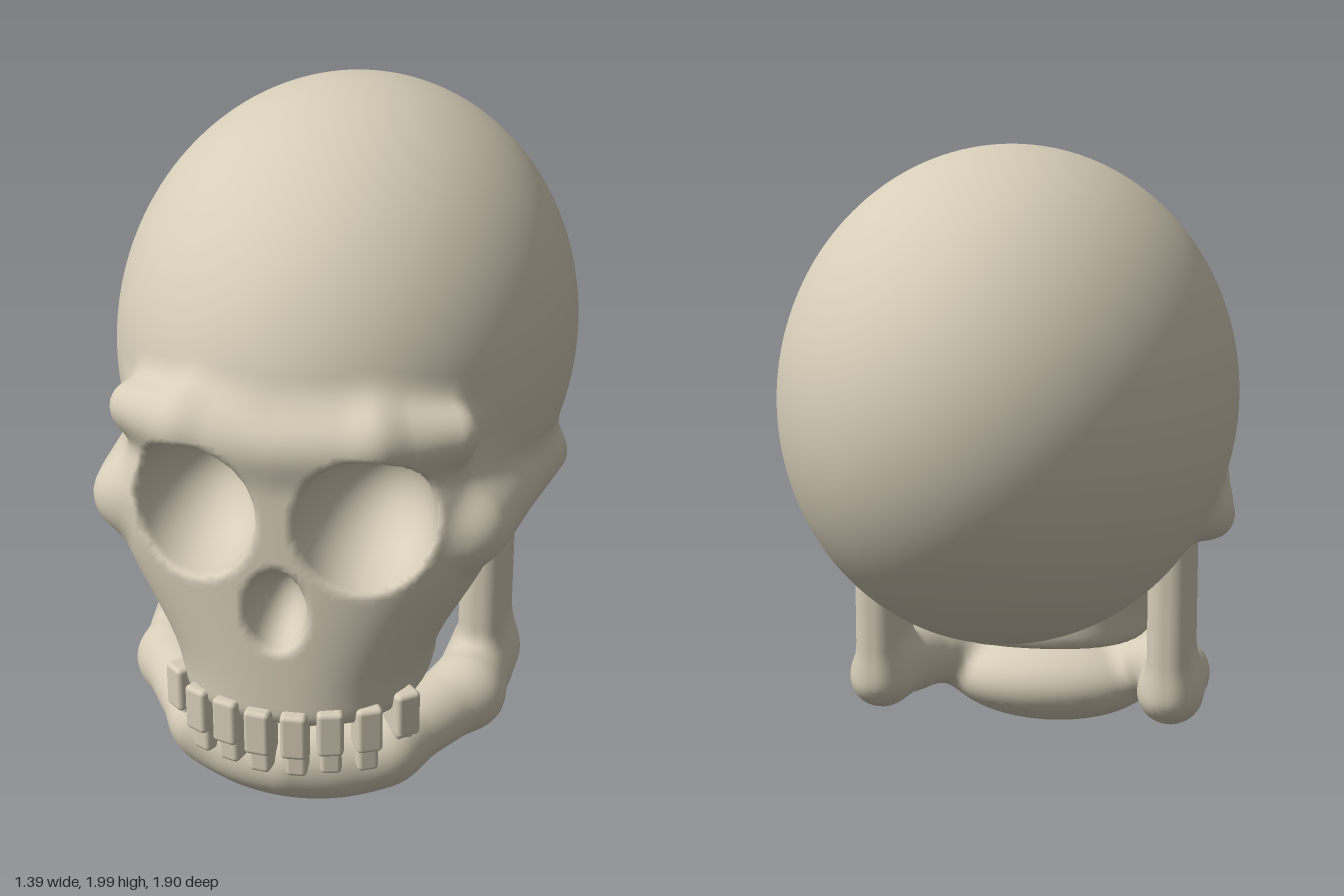
import * as THREE from 'three';
import { RoundedBoxGeometry } from 'three/addons/geometries/RoundedBoxGeometry.js';

const { smoothstep } = THREE.MathUtils;

// Distance fields of the basic masses
function ellipsoid(x, y, z, c, r) {
  const a = (x - c[0]) / r[0], b = (y - c[1]) / r[1], d = (z - c[2]) / r[2];
  const k0 = Math.hypot(a, b, d), k1 = Math.hypot(a / r[0], b / r[1], d / r[2]);
  return k1 < 1e-6 ? -Math.min(...r) : k0 * (k0 - 1) / k1;
}
// Tapered rod from a to b; each end is [x, y, z, radius]
function rod(x, y, z, a, b) {
  const ux = b[0] - a[0], uy = b[1] - a[1], uz = b[2] - a[2];
  const px = x - a[0], py = y - a[1], pz = z - a[2];
  const t = Math.min(1, Math.max(0, (px * ux + py * uy + pz * uz) / (ux * ux + uy * uy + uz * uz)));
  return Math.hypot(px - ux * t, py - uy * t, pz - uz * t) - a[3] - (b[3] - a[3]) * t;
}
function roundBox(x, y, z, c, s, r) {
  const a = Math.abs(x - c[0]) - s[0] + r, b = Math.abs(y - c[1]) - s[1] + r, d = Math.abs(z - c[2]) - s[2] + r;
  return Math.hypot(Math.max(a, 0), Math.max(b, 0), Math.max(d, 0)) + Math.min(Math.max(a, b, d), 0) - r;
}
// Soft union and soft intersection
function join(a, b, k) {
  const h = Math.max(k - Math.abs(a - b), 0) / k;
  return Math.min(a, b) - h * h * k / 4;
}
const meet = (a, b, k) => -join(-a, -b, k);

// Cranium, face, brow and cheekbones with sockets cut out
function skullField(sx, y, z) {
  const x = Math.abs(sx);
  let d = ellipsoid(x, y, z, [0, 1.24, -0.04], [0.695, 0.76, 0.91]);
  // face: flattened oval sections, wide at the cheeks and narrow at the mouth
  const w = 0.37 + 0.2 * smoothstep(y, 0.4, 0.92) - 0.08 * smoothstep(y, 0.95, 1.2);
  const depth = z > 0.5 ? 0.42 : 0.32;
  const q = Math.pow(x / w, 2.4) + Math.pow(Math.abs(z - 0.5) / depth, 2.4);
  let face = (Math.pow(q, 1 / 2.4) - 1) * 0.42;
  face = meet(face, 0.36 - y, 0.06);
  face = meet(face, y - 1.22, 0.06);
  d = join(d, face, 0.08);
  // cheekbone arch
  d = join(d, rod(x, y, z, [0.5, 0.93, 0.66, 0.1], [0.61, 0.88, 0.0, 0.08]), 0.06);
  // brow ridge
  let brow = rod(x, y, z, [0, 1.23, 0.84, 0.08], [0.26, 1.25, 0.83, 0.08]);
  brow = join(brow, rod(x, y, z, [0.26, 1.25, 0.83, 0.08], [0.45, 1.23, 0.72, 0.065]), 0.03);
  d = join(d, brow, 0.09);
  // eye sockets and nose opening
  d = meet(d, -ellipsoid(x, y, z, [0.243, 1.01, 0.87], [0.188, 0.2, 0.3]), 0.025);
  return meet(d, -ellipsoid(x, y, z, [0, 0.735, 0.92], [0.086, 0.125, 0.16]), 0.025);
}

// Lower jaw: upright branches, side bars, front arc and chin
function jawField(sx, y, z) {
  const x = Math.abs(sx);
  let d = roundBox(x, y, z, [0.48, 0.53, 0.19], [0.068, 0.33, 0.16], 0.06);
  d = join(d, rod(x, y, z, [0.48, 0.26, 0.16, 0.105], [0.46, 0.25, 0.42, 0.11]), 0.06);
  d = join(d, rod(x, y, z, [0.46, 0.25, 0.42, 0.11], [0.28, 0.22, 0.7, 0.1]), 0.04);
  d = join(d, rod(x, y, z, [0.28, 0.22, 0.7, 0.1], [0, 0.2, 0.79, 0.09]), 0.04);
  return join(d, ellipsoid(x, y, z, [0, 0.155, 0.63], [0.36, 0.15, 0.23]), 0.06);
}

// Skins the zero level of a field with a smooth quad net
function skin(field, lo, hi, h) {
  const n = lo.map((v, a) => Math.ceil((hi[a] - v) / h) + 1);
  const step = [1, n[0], n[0] * n[1]];
  const val = new Float32Array(n[0] * n[1] * n[2]);
  const at = (i, j, k) => i + j * step[1] + k * step[2];
  const each = (start, end, fn) => {
    for (let k = start; k < n[2] - end; k++)
      for (let j = start; j < n[1] - end; j++)
        for (let i = start; i < n[0] - end; i++) fn(i, j, k);
  };
  each(0, 0, (i, j, k) => { val[at(i, j, k)] = field(lo[0] + i * h, lo[1] + j * h, lo[2] + k * h); });

  const cell = new Int32Array(val.length).fill(-1), pos = [], nor = [], idx = [];
  const e = 0.004;
  const slope = (x, y, z) => [
    (field(x + e, y, z) - field(x - e, y, z)) / (2 * e),
    (field(x, y + e, z) - field(x, y - e, z)) / (2 * e),
    (field(x, y, z + e) - field(x, y, z - e)) / (2 * e)];
  // one vertex in each cell the surface crosses, pulled onto the surface
  each(0, 1, (i, j, k) => {
    const base = at(i, j, k), sum = [0, 0, 0];
    let count = 0;
    for (let c = 0; c < 8; c++) {
      const o = [c & 1, (c >> 1) & 1, c >> 2];
      const p = base + o[0] + o[1] * step[1] + o[2] * step[2];
      for (let a = 0; a < 3; a++) {
        if (o[a]) continue;
        const v0 = val[p], v1 = val[p + step[a]];
        if ((v0 < 0) === (v1 < 0)) continue;
        for (let b = 0; b < 3; b++) sum[b] += o[b] + (b === a ? v0 / (v0 - v1) : 0);
        count++;
      }
    }
    if (!count) return;
    let p = [i, j, k].map((v, a) => lo[a] + (v + sum[a] / count) * h);
    const g = slope(...p), len2 = g[0] ** 2 + g[1] ** 2 + g[2] ** 2 || 1;
    const move = Math.max(-h / 2, Math.min(h / 2, field(...p) / Math.sqrt(len2))) / Math.sqrt(len2);
    p = p.map((v, a) => v - g[a] * move);
    cell[base] = pos.length / 3;
    pos.push(...p);
    nor.push(...new THREE.Vector3(...slope(...p)).normalize().toArray());
  });
  // one quad around each crossed grid edge
  each(1, 1, (i, j, k) => {
    const p = at(i, j, k);
    for (let a = 0; a < 3; a++) {
      const inside = val[p] < 0;
      if (inside === (val[p + step[a]] < 0)) continue;
      const u = step[(a + 1) % 3], v = step[(a + 2) % 3];
      const [A, B, C, D] = [p - u - v, p - v, p, p - u].map((m) => cell[m]);
      if (inside) idx.push(A, B, C, A, C, D);
      else idx.push(A, C, B, A, D, C);
    }
  });
  const geo = new THREE.BufferGeometry();
  geo.setAttribute('position', new THREE.Float32BufferAttribute(pos, 3));
  geo.setAttribute('normal', new THREE.Float32BufferAttribute(nor, 3));
  geo.setIndex(idx);
  return geo;
}

export function createModel() {
  const model = new THREE.Group();
  model.name = 'skull';
  const bone = new THREE.MeshStandardMaterial({ color: 0xd6cdb8 });
  bone.name = 'bone';
  const add = (geo, name, parent = model) => {
    const mesh = new THREE.Mesh(geo, bone);
    mesh.name = name;
    parent.add(mesh);
    return mesh;
  };

  add(skin(skullField, [-0.76, 0.3, -1.0], [0.76, 2.06, 1.0], 0.02), 'craniumAndFace');
  add(skin(jawField, [-0.68, -0.06, -0.05], [0.68, 0.94, 0.98], 0.02), 'lowerJaw');

  // Rows of blocky teeth set along the curve of the mouth
  const teeth = (name, xs, width, height, y, rx, rz) => {
    const row = new THREE.Group();
    row.name = name;
    for (const side of [-1, 1]) {
      xs.forEach((x, i) => {
        const c = Math.sqrt(1 - (x / rx) ** 2);
        const tooth = add(new RoundedBoxGeometry(width, height, 0.09, 2, 0.014), 'tooth', row);
        tooth.position.set(side * x, y + (i % 2) * 0.008, 0.5 + rz * c);
        tooth.rotation.y = side * Math.atan2(x / rx, c) * 0.75;
      });
    }
    model.add(row);
  };
  teeth('upperTeeth', [0.05, 0.145, 0.24, 0.325], 0.076, 0.14, 0.355, 0.4, 0.41);
  teeth('lowerTeeth', [0.05, 0.14, 0.23, 0.31], 0.062, 0.13, 0.275, 0.39, 0.38);
  return model;
}
